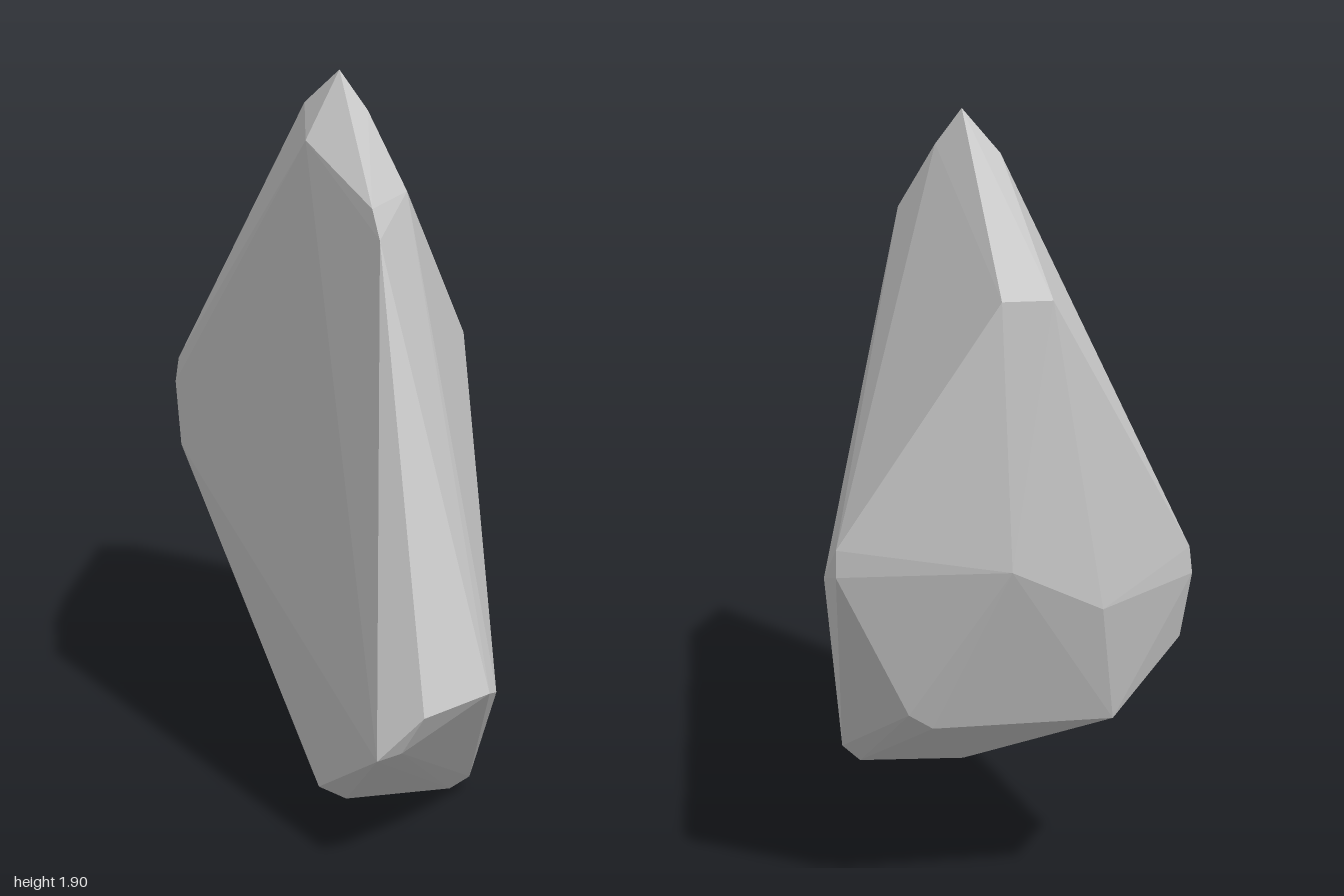
import * as THREE from 'three';
import { ConvexGeometry } from 'three/addons/geometries/ConvexGeometry.js';

// Corners of the chipped stone, grouped by region
const corners = {
  peak: [[-0.01, 1.9, 0.27], [0.06, 1.8, 0.3], [0.15, 1.61, 0.43], [-0.1, 1.73, 0.35], [-0.09, 1.8, 0.08]],
  frontShoulder: [[0.045, 1.6, 0.68], [0.06, 1.53, 0.73]],
  backRidge: [[0.06, 1.6, -1], [-0.06, 1.6, -0.995]],
  frontToe: [[0.15, 0.42, 1], [0.04, 0.3, 0.96], [0.32, 0.44, 0.88], [0.345, 0.42, 0.81], [0.1, 0.32, 0.96]],
  base: [[-0.07, 0.02, 0.37], [-0.02, 0, 0.33], [0.28, 0, 0.35], [0.33, 0.04, 0.37], [0, 0, 0.41]],
  leftBulge: [[0.44, 1, -0.91], [0.44, 0.93, -0.9], [0.26, 0.55, -0.82], [0.2, 0.51, -0.81]],
  rightBulge: [[-0.43, 0.95, -0.81], [-0.44, 0.88, -0.8], [-0.425, 0.7, -0.74], [-0.25, 0.51, -0.79]],
  backFace: [[0.03, 0.95, -0.98], [-0.2, 0.83, -0.91]],
};

export function createModel() {
  const group = new THREE.Group();
  group.name = 'rock';
  const points = Object.values(corners).flat().map((p) => new THREE.Vector3(...p));
  // Faceted hull of the stone
  const stone = new THREE.Mesh(
    new ConvexGeometry(points),
    new THREE.MeshStandardMaterial({ color: 0xcccccc, flatShading: true }),
  );
  stone.name = 'stone';
  group.add(stone);
  return group;
}
